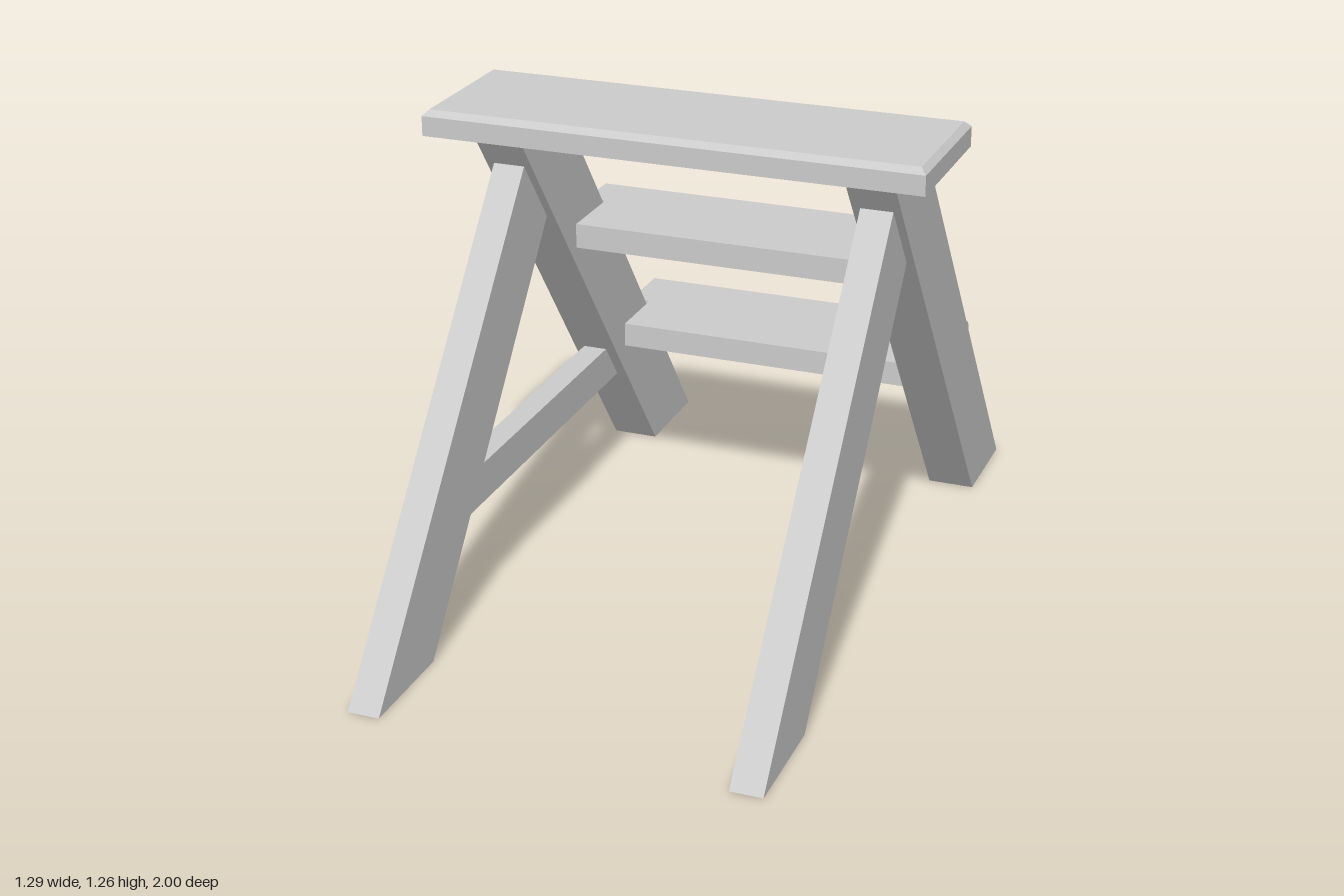
import * as THREE from 'three';

const material = new THREE.MeshStandardMaterial({ color: 0xcccccc, flatShading: true });

function makeMesh(name, geometry) {
  const mesh = new THREE.Mesh(geometry, material);
  mesh.name = name;
  return mesh;
}

function shapeOf(points) {
  return new THREE.Shape(points.map(([a, b]) => new THREE.Vector2(a, b)));
}

// Extrude a [z, y] side profile across x, centred on x
function sideProfile(points, x, width) {
  const g = new THREE.ExtrudeGeometry(shapeOf(points), { depth: width, bevelEnabled: false });
  return g.rotateY(-Math.PI / 2).translate(x + width / 2, 0, 0);
}

// Extrude an [x, z] plan outline upwards from y = 0
function planProfile(points, height, steps = 1) {
  const outline = points.map(([x, z]) => [x, -z]);
  const g = new THREE.ExtrudeGeometry(shapeOf(outline), { depth: height, steps, bevelEnabled: false });
  return g.rotateX(-Math.PI / 2);
}

// Move every vertex by a rule
function reshape(g, rule) {
  const p = g.attributes.position;
  const v = new THREE.Vector3();
  for (let i = 0; i < p.count; i++) {
    rule(v.fromBufferAttribute(p, i));
    p.setXYZ(i, v.x, v.y, v.z);
  }
  g.computeVertexNormals();
  return g;
}

// Sloping rear stile with its two rear edges chamfered
function stileGeometry(x) {
  const w = 0.0625, c = 0.01, front = -0.712, back = -1;
  const outline = [
    [x - w, front], [x - w, back + 0.016], [x - w + c, back],
    [x + w - c, back], [x + w, back + 0.016], [x + w, front],
  ];
  return reshape(planProfile(outline, 1.2), (v) => { v.z += 0.745 * v.y; });
}

// Tread with ears overlapping the stiles and a chamfered rear top edge
function treadGeometry(back, notch, front) {
  const h = 0.066, c = 0.015, ear = 0.475, inner = 0.421;
  const outline = [
    [-ear, back], [ear, back], [ear, notch], [inner, notch],
    [inner, front], [-inner, front], [-inner, notch], [-ear, notch],
  ];
  return reshape(planProfile(outline, h, 2), (v) => {
    if (Math.abs(v.y - h / 2) < 0.001) v.y = h - c;
    else if (v.y > h - 0.001 && v.z < back + 0.001) v.z += c;
  });
}

export function createModel() {
  const group = new THREE.Group();
  group.name = 'stepStool';

  // Top board, bevelled round its upper edge
  const h = 0.066, c = 0.015;
  const top = new THREE.BoxGeometry(1.286, h, 0.4, 1, 2, 1);
  reshape(top, (v) => {
    if (Math.abs(v.y) < 0.001) v.y = h / 2 - c;
    else if (v.y > 0) {
      v.x -= Math.sign(v.x) * c;
      v.z -= Math.sign(v.z) * c;
    }
  });
  top.translate(0, 1.196 + h / 2, 0.055);
  group.add(makeMesh('topBoard', top));

  // Rear stiles and front legs on both sides
  for (const [side, s] of [['left', 1], ['right', -1]]) {
    group.add(makeMesh(side + 'Stile', stileGeometry(s * 0.4825)));
    const leg = [[1, 0], [0.1, 1.095], [-0.03, 0.92], [0.712, 0]];
    group.add(makeMesh(side + 'FrontLeg', sideProfile(leg, s * 0.4825, 0.083)));
  }

  // Single brace between leg and stile on the right side
  const brace = [[0.49, 0.285], [0.398, 0.39], [-0.43, 0.39], [-0.51, 0.285]];
  group.add(makeMesh('brace', sideProfile(brace, -0.4825, 0.066)));

  // Treads
  const treads = [
    ['lowerTread', 0.379, -0.865, -0.675, -0.49],
    ['upperTread', 0.786, -0.512, -0.365, -0.165],
  ];
  for (const [name, y, back, notch, front] of treads) {
    const tread = makeMesh(name, treadGeometry(back, notch, front));
    tread.position.y = y;
    group.add(tread);
  }
  return group;
}
